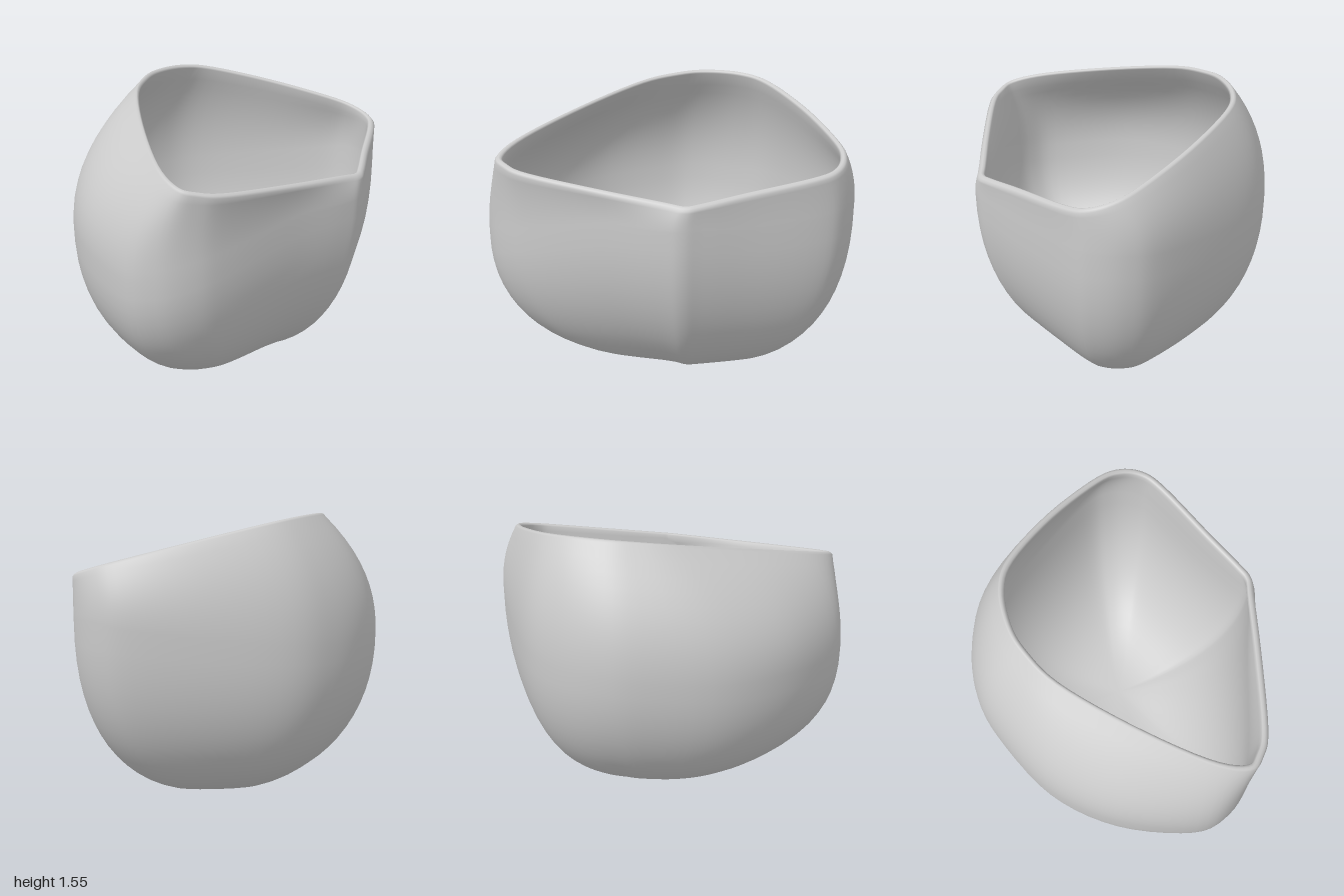
import * as THREE from 'three';
import { mergeVertices } from 'three/addons/utils/BufferGeometryUtils.js';

// Control stations around the pot: rim x, rim z, belly x, belly height, belly z
const STATIONS = [
  [0.80, -0.16, 0.81, 1.03, -0.14],
  [0.77, -0.25, 0.765, 1.02, -0.25],
  [0.67, -0.46, 0.66, 1.00, -0.47],
  [0.52, -0.79, 0.50, 1.02, -0.82],
  [0.43, -0.91, 0.40, 1.03, -0.94],
  [0.30, -0.95, 0.24, 1.03, -1.00],
  [0.14, -0.91, 0.05, 1.00, -0.965],
  [-0.17, -0.74, -0.33, 0.95, -0.75],
  [-0.45, -0.52, -0.63, 0.92, -0.53],
  [-0.55, -0.35, -0.76, 0.90, -0.32],
  [-0.57, -0.14, -0.815, 0.90, -0.08],
  [-0.53, 0.03, -0.78, 0.88, 0.16],
  [-0.42, 0.23, -0.60, 0.85, 0.55],
  [-0.14, 0.52, -0.30, 0.83, 0.83],
  [0.19, 0.80, 0.10, 0.78, 0.99],
  [0.39, 0.89, 0.31, 0.80, 0.96],
  [0.49, 0.83, 0.46, 0.85, 0.83],
  [0.57, 0.69, 0.55, 0.90, 0.65],
  [0.69, 0.28, 0.68, 1.00, 0.25],
  [0.775, -0.05, 0.785, 1.02, -0.03],
];
const AROUND = 100, LOWER = 18, UPPER = 10;
const WALL = 0.04, LIP = 0.015;
const BASE = new THREE.Vector3(0.02, 0, -0.12);
const rimHeight = (x) => 1.385 - 0.29 * x;   // slanted plane of the opening

function closedCurve(toPoint) {
  return new THREE.CatmullRomCurve3(STATIONS.map(toPoint), true, 'catmullrom', 0.5);
}

// Skin a stack of closed rings
function loft(rings) {
  const positions = [], index = [];
  for (const ring of rings) for (const p of ring) positions.push(p.x, p.y, p.z);
  for (let j = 0; j < rings.length - 1; j++) {
    for (let i = 0; i < AROUND; i++) {
      const k = (i + 1) % AROUND;
      const a = j * AROUND + i, b = j * AROUND + k, c = a + AROUND, d = b + AROUND;
      index.push(a, b, d, a, d, c);
    }
  }
  const geometry = new THREE.BufferGeometry();
  geometry.setAttribute('position', new THREE.Float32BufferAttribute(positions, 3));
  geometry.setIndex(index);
  geometry.computeVertexNormals();
  return geometry;
}

function outerRings() {
  const rim = closedCurve(([x, z]) => new THREE.Vector3(x, rimHeight(x) - LIP, z));
  const belly = closedCurve(([, , x, y, z]) => new THREE.Vector3(x, y, z));
  const rings = Array.from({ length: LOWER + UPPER + 1 }, () => []);
  for (let i = 0; i < AROUND; i++) {
    const R = rim.getPoint(i / AROUND), B = belly.getPoint(i / AROUND);
    // Rounded bowl from the base up to the belly
    const power = 2 / (2.1 + 0.3 * Math.abs(B.z));
    for (let j = 0; j <= LOWER; j++) {
      const a = (j / LOWER) * Math.PI / 2;
      const p = BASE.clone().lerp(B, j ? Math.sin(a) ** power : 0);
      p.y = j < LOWER ? B.y * (1 - Math.cos(a) ** power) : B.y;
      rings[j].push(p);
    }
    // Wall curving in from the belly to the rim
    for (let j = 1; j <= UPPER; j++) {
      const u = j / UPPER;
      const p = B.clone().lerp(R, u ** 2.2);
      p.y = B.y + (R.y - B.y) * u;
      rings[LOWER + j].push(p);
    }
  }
  return rings;
}

export function createModel() {
  const group = new THREE.Group();
  group.name = 'openPot';

  const outer = outerRings();
  const normals = loft(outer).getAttribute('normal');

  // Inner wall: the outer wall moved inward by the thickness
  const last = outer.length - 1;
  const inner = outer.map((ring, j) => ring.map((p, i) => {
    const n = new THREE.Vector3().fromBufferAttribute(normals, j * AROUND + i);
    if (j === 0) n.set(0, -1, 0);
    const q = p.clone().addScaledVector(n, -WALL);
    if (j === last) q.y = rimHeight(q.x) - LIP;
    return q;
  }));

  // Rounded lip joining both walls
  const lip = [0.2, 0.5, 0.8].map((t) => outer[last].map((p, i) => {
    const q = p.clone().lerp(inner[last][i], t);
    q.y = rimHeight(q.x) - LIP + LIP * Math.sin(Math.PI * t);
    return q;
  }));

  let geometry = loft([...outer, ...lip, ...inner.reverse()]);
  geometry.deleteAttribute('normal');
  geometry = mergeVertices(geometry, 1e-5);
  geometry.computeVertexNormals();

  const pot = new THREE.Mesh(geometry, new THREE.MeshStandardMaterial({ color: 0xcccccc, side: THREE.DoubleSide }));
  pot.name = 'potShell';
  group.add(pot);
  return group;
}
